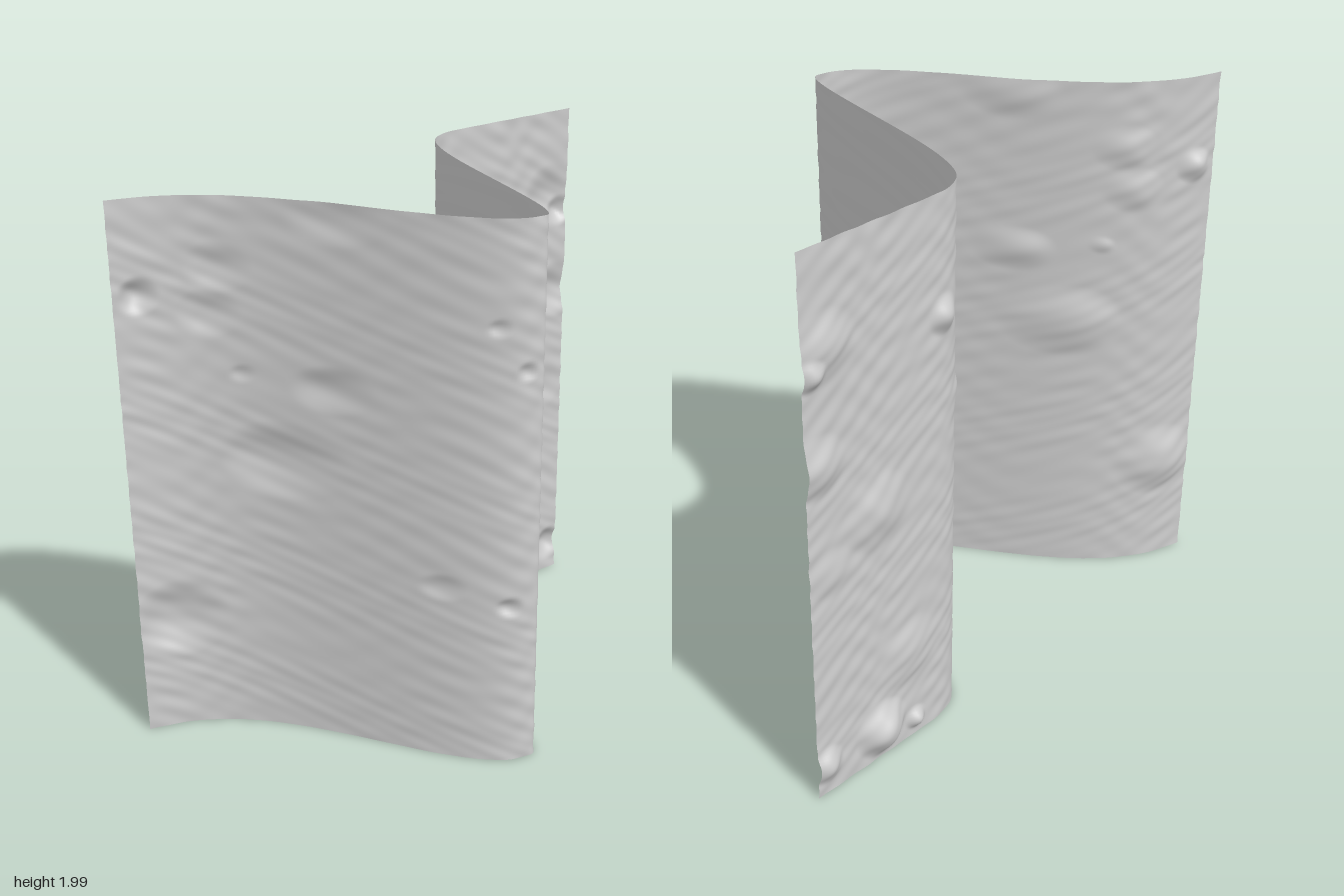
import * as THREE from 'three';

// Dents pressed backwards into the sheet: x, y, radius, depth
const dents = [
  [-0.92, 1.67, 0.07, 0.03], [-0.70, 1.76, 0.09, 0.018], [-0.45, 1.95, 0.10, 0.02],
  [-0.73, 1.60, 0.09, 0.018], [-0.13, 1.64, 0.035, 0.014], [-0.05, 1.49, 0.04, 0.015],
  [-0.65, 1.39, 0.035, 0.01], [-0.46, 1.36, 0.09, 0.028], [-0.57, 1.08, 0.15, 0.035],
  [-0.25, 0.69, 0.055, 0.02], [-0.09, 0.63, 0.045, 0.017], [-0.87, 0.45, 0.16, 0.035],
  [0.13, 0.49, 0.06, 0.02], [0.28, 1.27, 0.07, 0.015], [0.40, 1.59, 0.075, 0.03],
  [0.90, 1.67, 0.13, 0.025], [0.96, 1.60, 0.06, 0.03], [0.94, 1.28, 0.12, 0.027],
  [0.70, 1.01, 0.15, 0.025], [0.90, 0.88, 0.10, 0.01], [0.57, 0.38, 0.15, 0.018],
];
const deepDents = [
  [0.70, 0.13, 0.12, 0.06], [0.54, 0.08, 0.05, 0.03], [0.95, 0.13, 0.08, 0.035],
];

// Ridge section: a bell curve, wide on one flank and steep on the other
function ridge(x) {
  const spread = x < 0 ? 0.535 : 0.177;
  return -0.47 + Math.exp(-((x / spread) ** 2));
}

// Smooth bowl that fades to nothing at its rim
function dentDepth(x, y) {
  let depth = 0;
  for (const [cx, cy, r, d] of [...dents, ...deepDents]) {
    const q = ((x - cx) ** 2 + (y - cy) ** 2) / (r * r);
    if (q < 1) depth += d * (1 - q) ** 2;
  }
  return depth;
}

// Fine slanted ripples
function ripple(x, y) {
  return 0.0009 * (
    Math.sin(38 * x + 71 * y + 2 * Math.sin(9 * x - 5 * y)) +
    Math.sin(61 * x + 93 * y + 2 * Math.sin(13 * y + 4 * x)) +
    Math.sin(22 * x - 47 * y + 2 * Math.sin(17 * x)));
}

export function createModel() {
  const group = new THREE.Group();
  group.name = 'foldedSheet';

  const geometry = new THREE.PlaneGeometry(1.99, 1.99, 220, 220);
  geometry.translate(-0.005, 1.005, 0);
  const p = geometry.attributes.position;
  for (let i = 0; i < p.count; i++) {
    const x = p.getX(i), y = p.getY(i);
    p.setZ(i, ridge(x) - dentDepth(x, y) + ripple(x, y));
  }
  geometry.computeVertexNormals();

  const sheet = new THREE.Mesh(geometry, new THREE.MeshStandardMaterial({
    color: 0xcccccc, side: THREE.DoubleSide,
  }));
  sheet.name = 'dentedSheet';
  group.add(sheet);
  return group;
}
